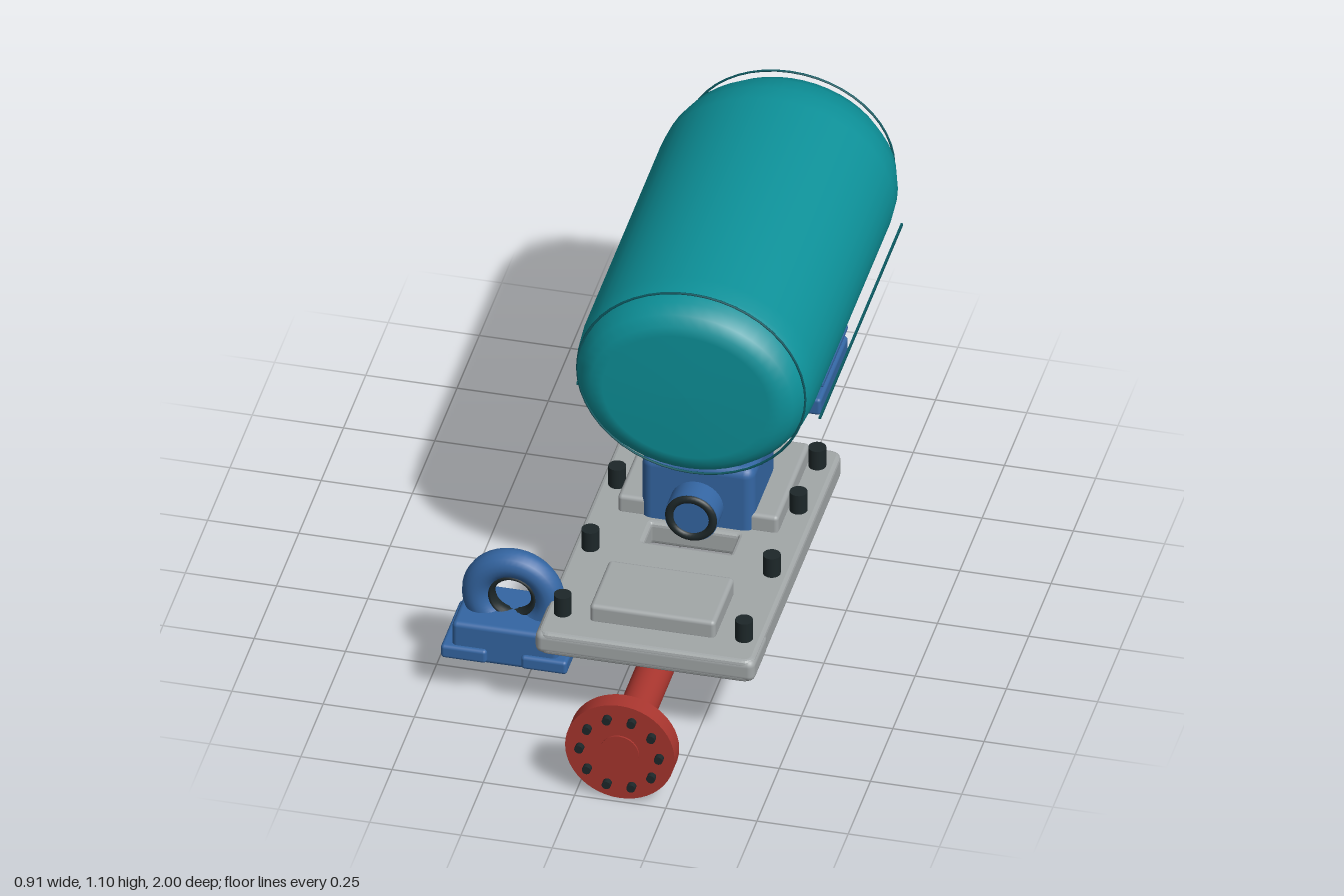
import * as THREE from 'three';
import { RoundedBoxGeometry } from 'three/addons/geometries/RoundedBoxGeometry.js';

const CX = 0.12; // shared centre line of tank, pump, motor and shaft

export function createModel() {
  const root = new THREE.Group();
  root.name = 'pumpSkid';
  const mat = (name, color) => {
    const m = new THREE.MeshStandardMaterial({ color });
    m.name = name;
    return m;
  };
  const teal = mat('tankTeal', 0x0d9199);
  const seam = mat('seamTeal', 0x0b5a62);
  const blue = mat('machineBlue', 0x3466a3);
  const red = mat('pipeRed', 0xa8352e);
  const grey = mat('plateGrey', 0xa2a7a8);
  const black = mat('rubberBlack', 0x1d2729);
  const steel = mat('darkSteel', 0x484c50);

  const add = (parent, name, geo, material, x = 0, y = 0, z = 0) => {
    const m = new THREE.Mesh(geo, material);
    m.name = name;
    m.position.set(x, y, z);
    parent.add(m);
    return m;
  };
  const group = (name) => {
    const g = new THREE.Group();
    g.name = name;
    root.add(g);
    return g;
  };
  // Rounded box given by its limits on each axis
  const box = (parent, name, material, x0, x1, y0, y1, z0, z1, r = 0.012) =>
    add(parent, name, new RoundedBoxGeometry(x1 - x0, y1 - y0, z1 - z0, 3, r), material,
      (x0 + x1) / 2, (y0 + y1) / 2, (z0 + z1) / 2);
  // Cylinder lying along z
  const rod = (parent, name, material, x, y, z0, z1, r, sides = 32) =>
    add(parent, name, new THREE.CylinderGeometry(r, r, z1 - z0, sides).rotateX(Math.PI / 2),
      material, x, y, (z0 + z1) / 2);
  const rect = (path, x0, x1, z0, z1, r) => {
    path.moveTo(x0 + r, -z1).lineTo(x1 - r, -z1).quadraticCurveTo(x1, -z1, x1, -z1 + r)
      .lineTo(x1, -z0 - r).quadraticCurveTo(x1, -z0, x1 - r, -z0)
      .lineTo(x0 + r, -z0).quadraticCurveTo(x0, -z0, x0, -z0 - r)
      .lineTo(x0, -z1 + r).quadraticCurveTo(x0, -z1, x0 + r, -z1);
    return path;
  };

  // Tank: oval body with a blunt front and a domed rear
  const tank = group('tank');
  const profile = [[0, -1], [0.36, -0.995], [0.66, -0.972], [0.82, -0.935], [0.93, -0.88], [0.985, -0.82],
    [1, -0.76], [1, 0.09], [0.985, 0.15], [0.95, 0.19], [0.89, 0.225], [0.8, 0.245], [0.7, 0.25], [0, 0.252]]
    .map(([r, z]) => new THREE.Vector2(r, z));
  add(tank, 'tankBody', new THREE.LatheGeometry(profile, 48).rotateX(Math.PI / 2).scale(0.326, 0.278, 1),
    teal, CX, 0.807, 0);
  for (const [z, rx, ry] of [[0.183, 0.312, 0.29], [-0.925, 0.285, 0.255]]) {
    const hoop = add(tank, 'tankHoop', new THREE.TorusGeometry(1, 0.012, 6, 48), seam, CX, 0.807, z);
    hoop.scale.set(rx, ry, 0.3);
  }
  for (const s of [-1, 1]) {
    add(tank, 'tankSideSeam', new THREE.BoxGeometry(0.006, 0.007, 0.92), seam, CX + s * 0.332, 0.693, -0.36);
  }

  // Base plate with two openings, raised pads and hold-down bolts
  const base = group('base');
  const shape = rect(new THREE.Shape(), -0.165, 0.405, -0.29, 0.695, 0.02);
  shape.holes.push(rect(new THREE.Path(), 0.01, 0.23, 0.36, 0.56, 0.015));
  shape.holes.push(rect(new THREE.Path(), -0.01, 0.25, 0.13, 0.24, 0.015));
  add(base, 'basePlate', new THREE.ExtrudeGeometry(shape, {
    depth: 0.044, bevelThickness: 0.013, bevelSize: 0.012, bevelSegments: 3, curveSegments: 5,
  }).rotateX(-Math.PI / 2), grey, 0, 0.248, 0);
  box(base, 'frontEndRail', grey, -0.182, 0.42, 0.236, 0.304, 0.55, 0.708, 0.02);
  box(base, 'frontPad', grey, -0.052, 0.292, 0.295, 0.355, 0.4, 0.62);
  box(base, 'pumpPad', grey, -0.1, 0.34, 0.295, 0.355, -0.25, 0.11);
  for (const x of [-0.13, 0.367]) {
    for (const z of [0.6, 0.29, -0.01, -0.22]) {
      add(base, 'holdDownBolt', new THREE.CylinderGeometry(0.024, 0.024, 0.07, 20), black, x, 0.33, z);
    }
  }

  // Pump housing with inlet boss
  const pump = group('pump');
  box(pump, 'pumpHousing', blue, -0.035, 0.275, 0.22, 0.5, -0.13, 0.12, 0.03);
  box(pump, 'pumpFoot', blue, -0.04, 0.28, 0.22, 0.3, -0.12, 0.11, 0.01);
  box(pump, 'pumpSaddle', blue, 0, 0.24, 0.47, 0.545, -0.1, 0.1);
  rod(pump, 'inletBoss', blue, CX, 0.37, 0.1, 0.185, 0.073);
  add(pump, 'inletSeal', new THREE.TorusGeometry(0.06, 0.012, 10, 36), black, CX, 0.37, 0.183);
  rod(pump, 'rearBoss', blue, CX, 0.365, -0.195, -0.1, 0.068);

  // Motor with cooling ribs and feet
  const motor = group('motor');
  box(motor, 'motorHousing', blue, -0.045, 0.285, 0.27, 0.568, -0.86, -0.5, 0.03);
  rod(motor, 'motorFrontFlange', blue, CX, 0.41, -0.52, -0.43, 0.125, 40);
  rod(motor, 'motorRearCap', blue, CX, 0.42, -0.9, -0.84, 0.143, 40);
  for (const s of [-1, 1]) {
    for (const y of [0.335, 0.4, 0.463, 0.525]) {
      const x = CX + s * 0.168;
      box(motor, 'coolingRib', blue, x - 0.017, x + 0.017, y - 0.009, y + 0.009, -0.82, -0.54, 0.006);
    }
    const fx = CX + s * 0.115;
    box(motor, 'motorFoot', blue, fx - 0.068, fx + 0.068, 0.247, 0.3, -0.83, -0.52, 0.01);
  }

  // Drive pipe with end cap, collar and bolted flange
  const pipe = group('pipe');
  const py = 0.155;
  rod(pipe, 'pipeTube', red, CX, py, 0.36, 0.88, 0.05);
  rod(pipe, 'pipeEndCap', steel, CX, py, 0.305, 0.383, 0.072);
  rod(pipe, 'pipeCollar', blue, CX, py, 0.855, 0.935, 0.078);
  rod(pipe, 'pipeFlange', red, CX, py, 0.93, 0.983, 0.15, 48);
  rod(pipe, 'flangeHub', red, CX, py, 0.98, 0.988, 0.053);
  for (let i = 0; i < 10; i++) {
    const a = (i * Math.PI) / 5;
    rod(pipe, 'flangeBolt', black, CX + 0.109 * Math.cos(a), py + 0.109 * Math.sin(a), 0.97, 1, 0.012, 14);
  }

  // Lifting eye on its footed block
  const eye = group('liftingEye');
  const ex = -0.285, ez = 0.52;
  box(eye, 'eyeBlock', blue, ex - 0.145, ex + 0.145, 0.115, 0.235, 0.42, 0.62, 0.014);
  for (const s of [-1, 1]) {
    const fx = ex + s * 0.11;
    box(eye, 'eyeFoot', blue, fx - 0.063, fx + 0.063, 0.123, 0.164, 0.41, 0.632, 0.01);
  }
  add(eye, 'eyeRing', new THREE.TorusGeometry(0.1, 0.04, 16, 48), blue, ex, 0.285, ez);
  add(eye, 'eyeLiner', new THREE.TorusGeometry(0.0605, 0.0105, 10, 40), black, ex, 0.285, ez)
    .scale.set(1, 1, 2);

  return root;
}
